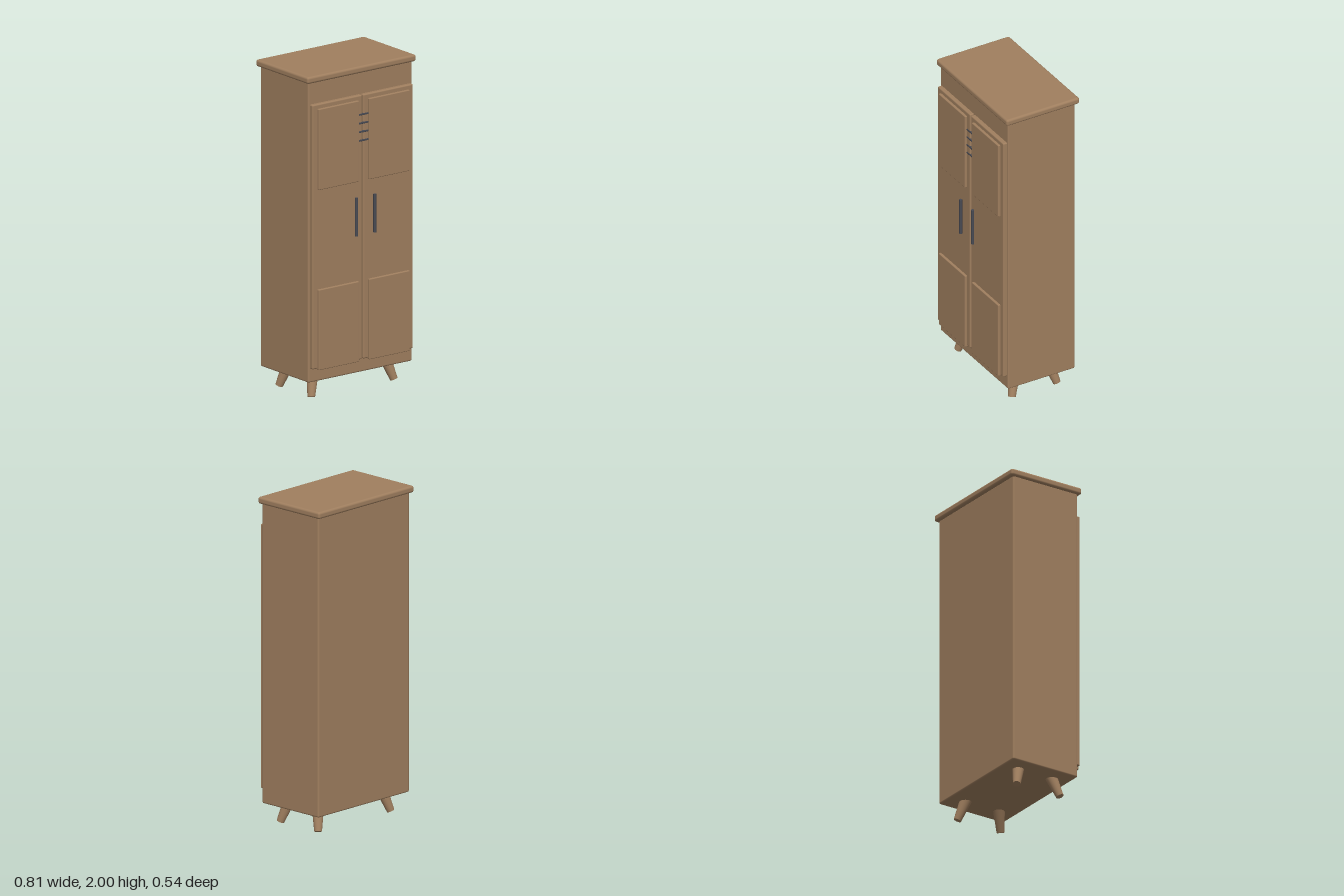
import * as THREE from 'three';
import { RoundedBoxGeometry } from 'three/addons/geometries/RoundedBoxGeometry.js';

export function createModel() {
  const wood = new THREE.MeshStandardMaterial({ color: 0xa07f5f });
  wood.name = 'wood';
  const metal = new THREE.MeshStandardMaterial({ color: 0x484a53 });
  metal.name = 'dark metal';

  const model = new THREE.Group();
  model.name = 'cabinet';

  const add = (name, geometry, material) => {
    const mesh = new THREE.Mesh(geometry, material);
    mesh.name = name;
    model.add(mesh);
    return mesh;
  };

  // Rounded block given by its limits on each axis
  const block = (name, [x0, x1], [y0, y1], [z0, z1], radius, material = wood) => {
    const mesh = add(name, new RoundedBoxGeometry(x1 - x0, y1 - y0, z1 - z0, 3, radius), material);
    mesh.position.set((x0 + x1) / 2, (y0 + y1) / 2, (z0 + z1) / 2);
    return mesh;
  };

  // Carcass and overhanging top
  block('body', [-0.387, 0.387], [0.125, 1.965], [-0.25, 0.21], 0.01);
  block('top', [-0.405, 0.405], [1.958, 2], [-0.273, 0.228], 0.014);

  for (const side of [-1, 1]) {
    const label = side > 0 ? 'left' : 'right';
    const span = (a, b) => (side > 0 ? [a, b] : [-b, -a]);

    // Door with two raised panels
    block(label + 'Door', span(0.004, 0.375), [0.21, 1.827], [0.2, 0.235], 0.008);
    block(label + 'UpperPanel', span(0.038, 0.34), [1.305, 1.8], [0.225, 0.25], 0.005);
    block(label + 'LowerPanel', span(0.038, 0.34), [0.203, 0.695], [0.225, 0.25], 0.005);

    // Bar handle
    add(label + 'Handle', new THREE.CylinderGeometry(0.009, 0.009, 0.235, 24), metal)
      .position.set(side * 0.068, 1.097, 0.261);

    // Splayed, tapered legs
    for (const end of [-1, 1]) {
      const top = new THREE.Vector3(side * 0.27, 0.143, -0.018 + end * 0.116);
      const foot = new THREE.Vector3(side * 0.308, 0.011, -0.018 + end * 0.154);
      const axis = top.clone().sub(foot);
      const leg = add(label + (end > 0 ? 'FrontLeg' : 'BackLeg'),
        new THREE.CylinderGeometry(0.036, 0.023, axis.length(), 24), wood);
      leg.position.copy(top).add(foot).multiplyScalar(0.5);
      leg.quaternion.setFromUnitVectors(new THREE.Vector3(0, 1, 0), axis.normalize());
    }
  }

  // Vent slats across the gap between the upper panels
  for (let i = 0; i < 4; i++) {
    block('ventSlat', [-0.05, 0.05], [1.703 - i * 0.053, 1.714 - i * 0.053], [0.222, 0.238], 0.002, metal);
  }

  return model;
}
